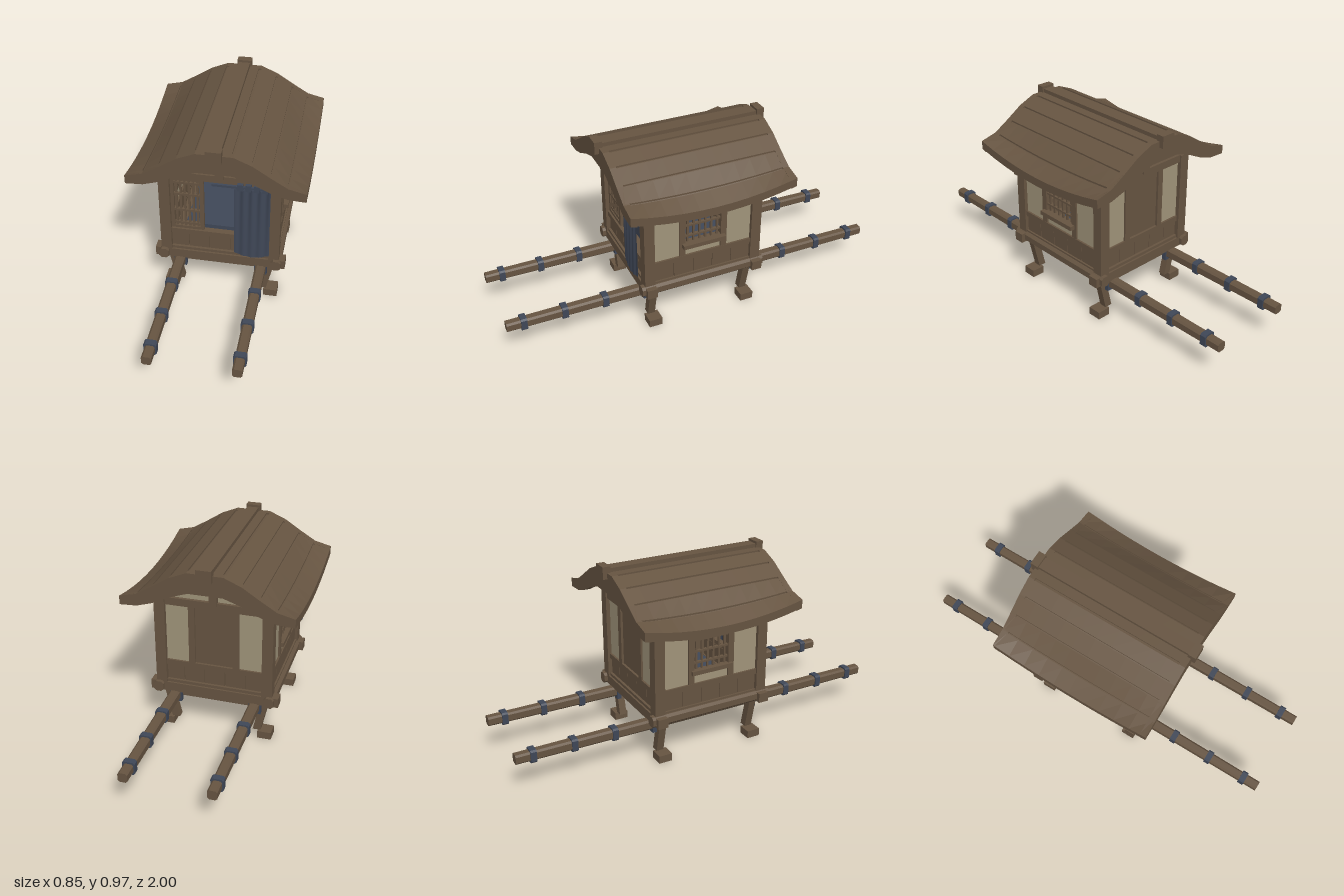
import * as THREE from 'three';

const mat = (name, color) => {
  const m = new THREE.MeshStandardMaterial({ color });
  m.name = name;
  return m;
};

export function createModel() {
  const wood = mat('brown wood', 0x665441);
  const plaster = mat('pale plaster', 0xa0947a);
  const cloth = mat('indigo cloth', 0x3f4757);
  wood.flatShading = plaster.flatShading = true;
  cloth.side = THREE.DoubleSide;

  const root = new THREE.Group();
  root.name = 'palanquin';
  const add = (name, geo, material = wood, parent = root) => {
    const m = new THREE.Mesh(geo, material);
    m.name = name;
    parent.add(m);
    return m;
  };
  // Box given by its limits on each axis
  const box = (name, x0, x1, y0, y1, z0, z1, material = wood, parent = root) => {
    const m = add(name, new THREE.BoxGeometry(x1 - x0, y1 - y0, z1 - z0), material, parent);
    m.position.set((x0 + x1) / 2, (y0 + y1) / 2, (z0 + z1) / 2);
    return m;
  };
  const group = (name) => {
    const g = new THREE.Group();
    g.name = name;
    root.add(g);
    return g;
  };
  // Chamfered square bar along z, with a slight taper towards both ends
  const bar = (w, h, len, c, taper = 0) => {
    const a = w / 2, b = h / 2;
    const s = new THREE.Shape([[-a + c, -b], [a - c, -b], [a, -b + c], [a, b - c], [a - c, b],
      [-a + c, b], [-a, b - c], [-a, -b + c]].map(([x, y]) => new THREE.Vector2(x, y)));
    const g = new THREE.ExtrudeGeometry(s, { depth: len, steps: 4, bevelEnabled: false });
    g.translate(0, 0, -len / 2);
    const p = g.attributes.position;
    for (let i = 0; i < p.count; i++) {
      const k = 1 - taper * Math.abs(p.getZ(i)) / (len / 2);
      p.setXY(i, p.getX(i) * k, p.getY(i) * k);
    }
    g.computeVertexNormals();
    return g;
  };

  // Carrying poles with cloth bindings
  for (const s of [-1, 1]) {
    const pole = group('carryingPole');
    pole.position.set(s * 0.207, 0.191, 0);
    add('poleBeam', bar(0.054, 0.056, 2, 0.01, 0.14), wood, pole);
    for (const z of [0.5, 0.71, 0.915]) for (const e of [-1, 1]) {
      add('poleBinding', bar(0.06, 0.066, 0.03, 0.008), cloth, pole).position.z = e * z;
    }
    for (const e of [-1, 1]) box('poleClamp', -0.032, 0.032, -0.041, 0.012, e * 0.29 - 0.012, e * 0.29 + 0.012, cloth, pole);
  }

  // Splayed legs on block feet
  for (const sx of [-1, 1]) for (const sz of [-1, 1]) {
    const g = new THREE.BoxGeometry(0.04, 0.175, 0.038);
    const p = g.attributes.position;
    for (let i = 0; i < p.count; i++) p.setX(i, p.getX(i) + sx * (p.getY(i) > 0 ? 0.255 : 0.215));
    g.computeVertexNormals();
    add('leg', g).position.set(0, 0.1275, sz * 0.262);
    const fx = sx * 0.258, fz = sz * 0.26;
    box('foot', fx - 0.035, fx + 0.035, 0, 0.04, fz - 0.035, fz + 0.035);
  }

  // Base frame and floor
  for (const s of [-1, 1]) {
    box('baseCrossBeam', -0.33, 0.33, 0.215, 0.265, s * 0.29 - 0.027, s * 0.29 + 0.027);
    const side = add('baseSideBeam', bar(0.05, 0.055, 0.67, 0.012));
    side.position.set(s * 0.285, 0.243, 0);
    box('underBeam', -0.26, 0.26, 0.176, 0.212, s * 0.262 - 0.018, s * 0.262 + 0.018);
  }
  box('floor', -0.28, 0.28, 0.235, 0.262, -0.28, 0.28);
  box('seatCushion', -0.2, 0.2, 0.262, 0.335, -0.22, 0.18, cloth);

  // Corner posts, rails and lower boards
  for (const s of [-1, 1]) {
    for (const e of [-1, 1]) {
      const x = s * 0.272, z = e * 0.29;
      box('cornerPost', x - 0.027, x + 0.027, 0.26, 0.74, z - 0.027, z + 0.027);
    }
    for (const [y0, y1, t] of [[0.265, 0.28, 0.018], [0.365, 0.393, 0.016], [0.703, 0.742, 0.019]]) {
      box('endRail', -0.248, 0.248, y0, y1, s * 0.29 - t, s * 0.29 + t);
      box('sideRail', s * 0.275 - t, s * 0.275 + t, y0, y1, -0.265, 0.265);
    }
    for (let i = 0; i < 5; i++) {
      const a = -0.262 + i * 0.105;
      const b = a + 0.102;
      box('endBoard', Math.max(a, -0.25), Math.min(b, 0.25), 0.275, 0.37, s * 0.287 - 0.008, s * 0.287 + 0.008);
      box('sideBoard', s * 0.276 - 0.008, s * 0.276 + 0.008, 0.275, 0.37, a, b);
    }
    box('endBacking', -0.25, 0.25, 0.275, 0.37, s * 0.275 - 0.004, s * 0.275 + 0.004);
    box('sideBacking', s * 0.264 - 0.004, s * 0.264 + 0.004, 0.275, 0.37, -0.265, 0.265);
  }

  // Side walls with barred windows
  for (const s of [-1, 1]) {
    const wall = group('sideWall');
    wall.position.x = s * 0.275;
    for (const e of [-1, 1]) {
      const c = e * 0.19;
      box('sidePlaster', -0.006, 0.006, 0.39, 0.706, c - 0.077, c + 0.077, plaster, wall);
      box('windowPost', -0.015, 0.015, 0.39, 0.706, e * 0.112 - 0.016, e * 0.112 + 0.016, wood, wall);
    }
    box('underWindowPlaster', -0.006, 0.006, 0.39, 0.445, -0.1, 0.1, plaster, wall);
    box('overWindowPlaster', -0.006, 0.006, 0.685, 0.706, -0.1, 0.1, plaster, wall);
    for (const y of [0.455, 0.68]) box('windowRail', -0.02, s * 0.01 + 0.026, y - 0.011, y + 0.011, -0.115, 0.115, wood, wall).position.x = s * 0.012;
    for (let i = 0; i < 6; i++) {
      const z = -0.08 + i * 0.032;
      box('windowBar', -0.005, 0.005, 0.46, 0.675, z - 0.005, z + 0.005, wood, wall);
    }
    for (const y of [0.5, 0.56, 0.62]) box('windowCrossBar', -0.008, 0.008, y - 0.005, y + 0.005, -0.098, 0.098, wood, wall);
  }

  // Back wall with a plain door
  for (const s of [-1, 1]) {
    box('backPlaster', s * 0.185 - 0.065, s * 0.185 + 0.065, 0.39, 0.706, -0.296, -0.284, plaster);
    box('backDoorPost', s * 0.112 - 0.016, s * 0.112 + 0.016, 0.39, 0.706, -0.306, -0.27);
  }
  box('backDoor', -0.1, 0.1, 0.39, 0.706, -0.294, -0.28);

  // Lattice sliding door at the front
  const door = group('latticeDoor');
  door.position.z = 0.287;
  for (const [x0, x1] of [[-0.245, -0.228], [-0.1, -0.08]]) box('doorStile', x0, x1, 0.393, 0.703, -0.009, 0.009, wood, door);
  for (const [y0, y1] of [[0.393, 0.408], [0.685, 0.703]]) box('doorRail', -0.23, -0.098, y0, y1, -0.009, 0.009, wood, door);
  for (let i = 0; i < 6; i++) {
    const x = -0.216 + i * 0.021;
    box('doorBar', x - 0.0055, x + 0.0055, 0.405, 0.69, -0.004, 0.004, wood, door);
  }
  for (const y of [0.425, 0.505, 0.6, 0.67]) box('doorCrossBar', -0.23, -0.098, y - 0.006, y + 0.006, -0.007, 0.007, wood, door);

  // Curtain on its rod
  box('curtainRod', -0.03, 0.272, 0.706, 0.718, 0.329, 0.341, cloth);
  for (const x of [0.105, 0.145, 0.185, 0.225]) box('curtainLoop', x - 0.014, x + 0.014, 0.695, 0.73, 0.326, 0.344, cloth);
  const curtain = new THREE.PlaneGeometry(0.174, 0.4, 32, 6);
  const cp = curtain.attributes.position;
  for (let i = 0; i < cp.count; i++) {
    const x = cp.getX(i), u = x / 0.087, v = 0.5 - cp.getY(i) / 0.4;
    cp.setY(i, cp.getY(i) - v * 0.015 * (1 - u * u) - (1 - v) * 0.006 * Math.cos(x * 150));
    cp.setZ(i, 0.005 * Math.cos(x * 150) * (1 - 0.6 * v) + 0.008 * v * (1 - u * u));
  }
  curtain.computeVertexNormals();
  add('curtain', curtain, cloth).position.set(0.164, 0.505, 0.333);

  // Curved roof: sections swept along z, with the eaves dipping between the corners
  const top = [[-0.425, 0.78], [-0.34, 0.801], [-0.26, 0.85], [-0.175, 0.905], [-0.088, 0.942],
    [0.088, 0.942], [0.175, 0.905], [0.26, 0.85], [0.34, 0.801], [0.425, 0.78]];
  const low = [[-0.425, 0.735], [-0.34, 0.74], [-0.26, 0.765], [-0.175, 0.807], [-0.085, 0.838],
    [0.085, 0.838], [0.175, 0.807], [0.26, 0.765], [0.34, 0.74], [0.425, 0.735]];
  const shape = (pts) => new THREE.Shape(pts.map(([x, y]) => new THREE.Vector2(x, y)));
  const sweep = (name, pts, z0, z1, steps, material = wood) => {
    const g = new THREE.ExtrudeGeometry(shape(pts), { depth: z1 - z0, steps, bevelEnabled: false });
    g.translate(0, 0, z0);
    const p = g.attributes.position;
    for (let i = 0; i < p.count; i++) {
      const k = THREE.MathUtils.clamp((Math.abs(p.getX(i)) - 0.28) / 0.145, 0, 1);
      p.setY(i, p.getY(i) - 0.05 * k * (1 - (p.getZ(i) / 0.425) ** 2));
    }
    g.computeVertexNormals();
    return add(name, g, material);
  };
  const lift = (pts, d) => pts.map(([x, y]) => [x, y + d]);
  sweep('roofShell', [...lift(top, -0.042), ...lift(top, -0.008).reverse()], -0.415, 0.415, 10);
  for (let i = 0; i < top.length - 1; i++) {
    // Planks leave a narrow groove at each bend
    const [a, b] = [top[i], top[i + 1]];
    const at = (t) => [a[0] + (b[0] - a[0]) * t, a[1] + (b[1] - a[1]) * t];
    const edge = [at(i ? 0.06 : 0), at(i < top.length - 2 ? 0.94 : 1)];
    sweep('roofPlank', [...lift(edge, -0.012), ...lift(edge, 0).reverse()], -0.42, 0.42, 10);
  }
  for (const s of [-1, 1]) {
    sweep('gableBoard', [...low, ...[...top].reverse()], s * 0.412 - 0.016, s * 0.412 + 0.016, 1);
    sweep('gablePlaster', [[-0.28, 0.738], [0.28, 0.738], [0.26, 0.83], [0.175, 0.885], [0.085, 0.915],
      [-0.085, 0.915], [-0.175, 0.885], [-0.26, 0.83]], s * 0.288 - 0.005, s * 0.288 + 0.005, 1, plaster);
    box('kingPost', -0.02, 0.02, 0.727, 0.91, s * 0.3 - 0.017, s * 0.3 + 0.017);
    box('ridgeCap', -0.037, 0.037, 0.912, 0.974, s * 0.43 - 0.02, s * 0.43 + 0.02);
  }
  box('ridgeBeam', -0.03, 0.03, 0.925, 0.962, -0.42, 0.42);

  return root;
}
